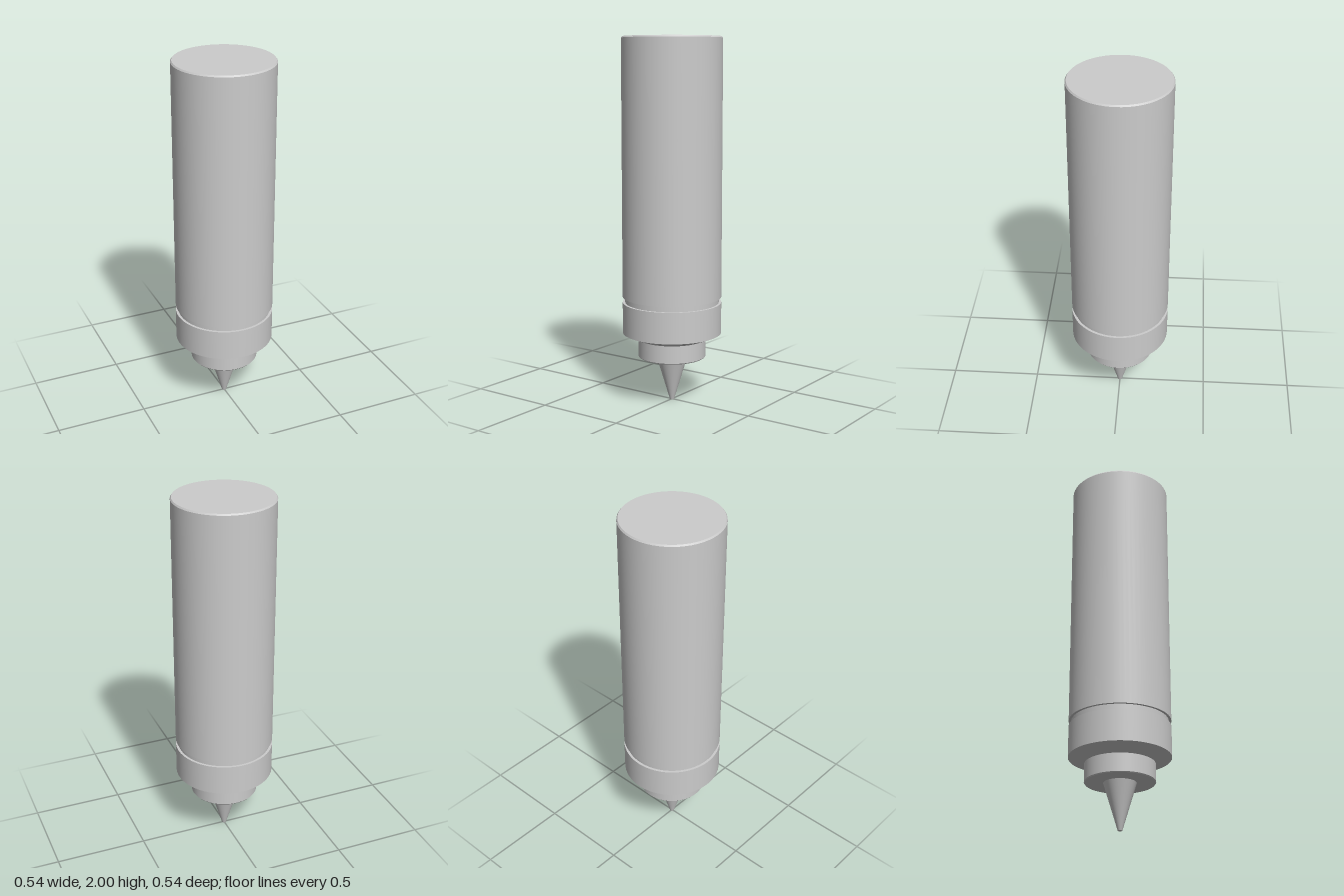
import * as THREE from 'three';
import { mergeGeometries } from 'three/addons/utils/BufferGeometryUtils.js';

const material = new THREE.MeshStandardMaterial({ color: 0xcccccc });

// Turned part: smooth around the axis, sharp at each profile corner.
// Profile runs [radius, height] from bottom to top.
function turned(name, profile) {
  const bands = [];
  for (let i = 0; i < profile.length - 1; i++) {
    const pair = [profile[i], profile[i + 1]].map(([r, y]) => new THREE.Vector2(r, y));
    bands.push(new THREE.LatheGeometry(pair, 64));
  }
  const mesh = new THREE.Mesh(mergeGeometries(bands), material);
  mesh.name = name;
  return mesh;
}

export function createModel() {
  const model = new THREE.Group();
  model.name = 'dispenser';

  // Long barrel with a fine chamfer at the top
  model.add(turned('barrel', [[0.258, 0.588], [0.272, 0.588], [0.272, 1.992], [0.266, 2], [0, 2]]));

  // Recessed neck between barrel and collar
  model.add(turned('grooveNeck', [[0.258, 0.557], [0.258, 0.588]]));

  // Collar with a tapered underside
  model.add(turned('collar', [[0.187, 0.352], [0.272, 0.386], [0.272, 0.557], [0.258, 0.557]]));

  // Narrow tip holder
  model.add(turned('tipHolder', [[0.087, 0.25], [0.183, 0.25], [0.187, 0.255], [0.187, 0.352]]));

  // Conical tip with a small blunt end
  model.add(turned('tip', [[0, 0], [0.012, 0], [0.087, 0.25]]));

  return model;
}
